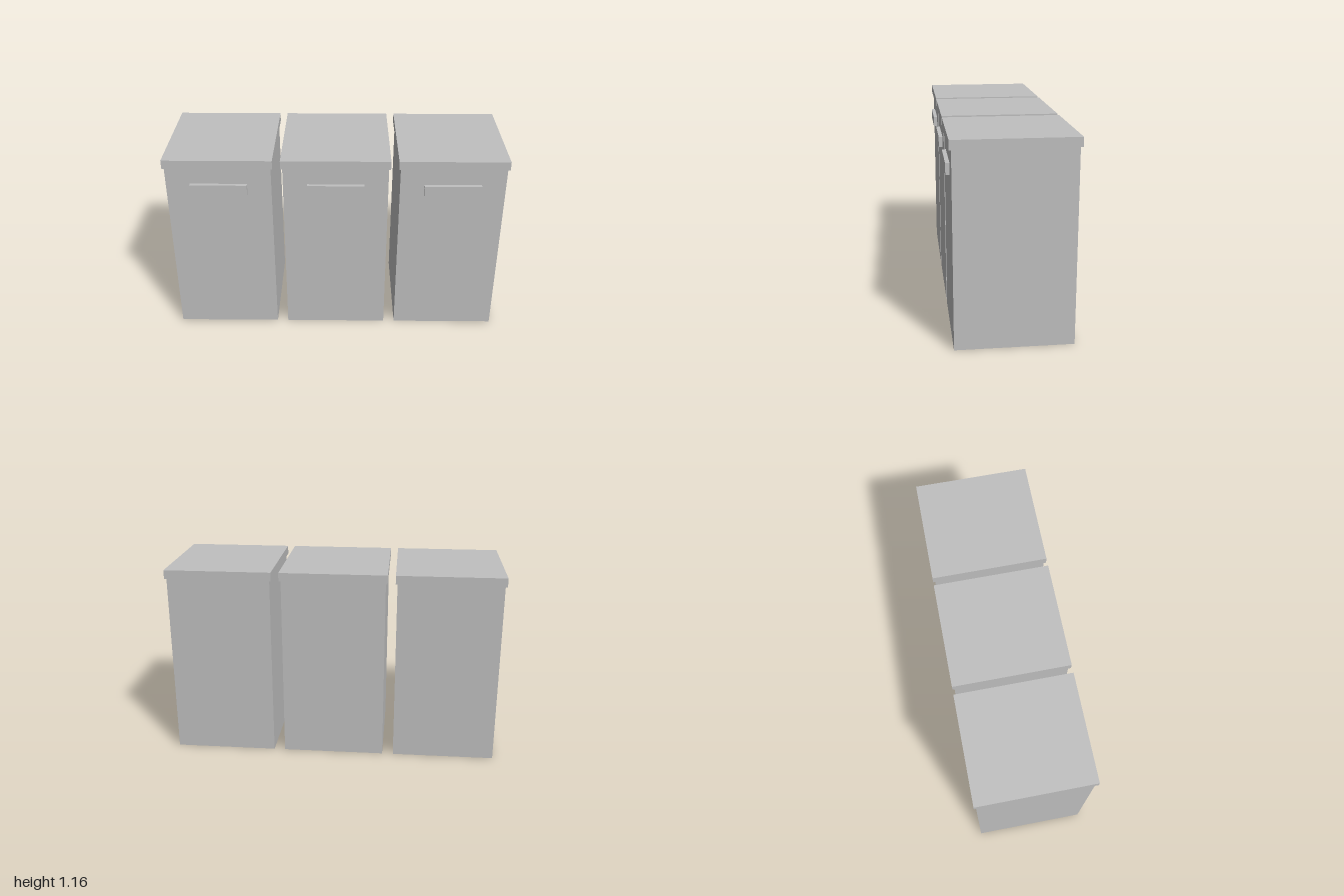
import * as THREE from 'three';

const grey = new THREE.MeshStandardMaterial({ color: 0xc0c0c0 });
grey.name = 'light grey';

// Box given by its width and its y and z ranges, centred on x
function box(name, width, y0, y1, z0, z1) {
  const mesh = new THREE.Mesh(new THREE.BoxGeometry(width, y1 - y0, z1 - z0), grey);
  mesh.position.set(0, (y0 + y1) / 2, (z0 + z1) / 2);
  mesh.name = name;
  return mesh;
}

// One bin: tall body, overhanging lid and a bar handle on the front
function createBin(name, x) {
  const bin = new THREE.Group();
  bin.name = name;
  bin.add(
    box('body', 0.615, 0, 1.104, -0.336, 0.325),
    box('lid', 0.636, 1.104, 1.156, -0.348, 0.337),
    box('handle', 0.333, 0.938, 1.002, 0.325, 0.348),
  );
  bin.position.x = x;
  return bin;
}

export function createModel() {
  const model = new THREE.Group();
  model.name = 'threeBins';
  ['rightBin', 'middleBin', 'leftBin'].forEach((name, i) => {
    model.add(createBin(name, (i - 1) * 0.682));
  });
  return model;
}
